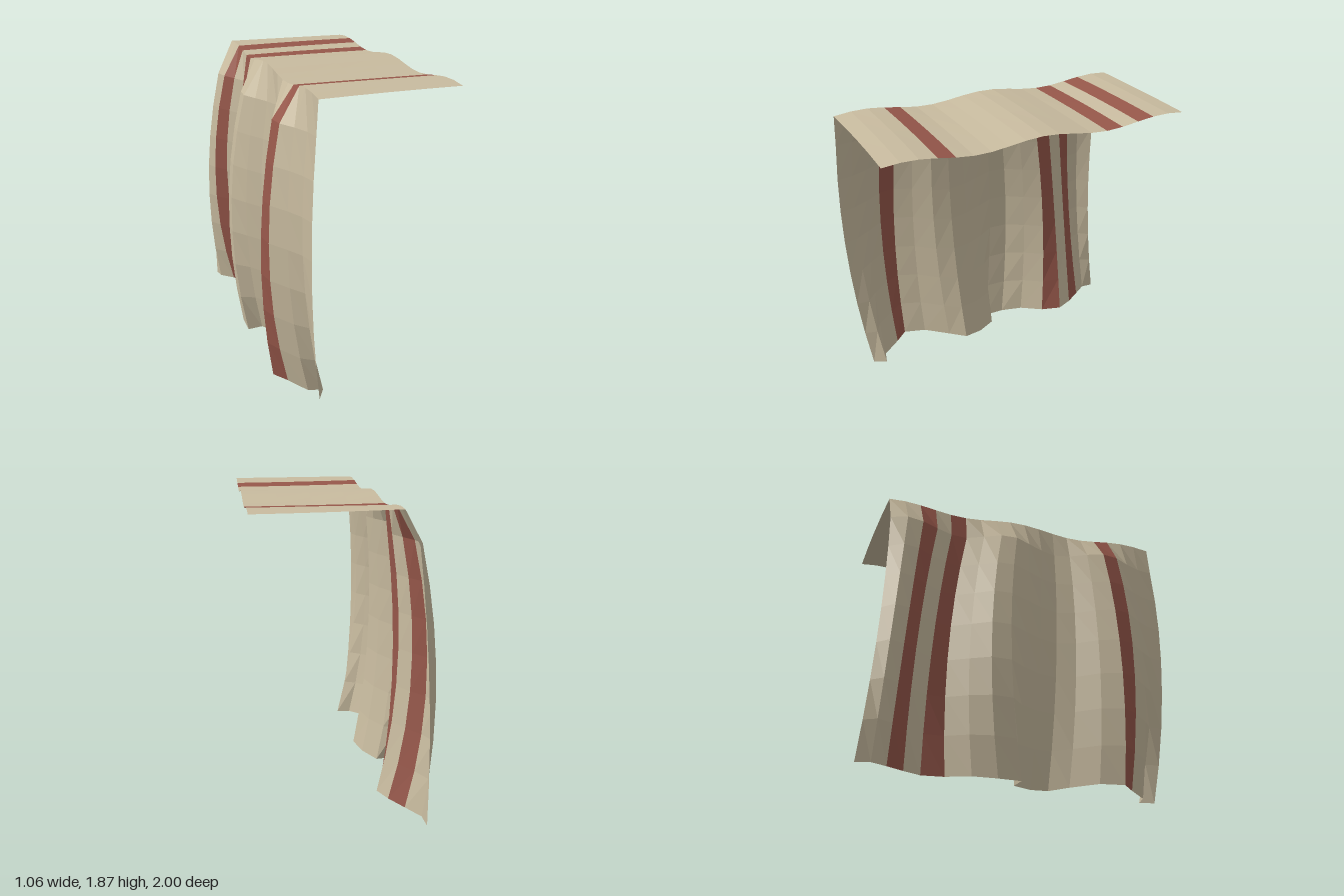
import * as THREE from 'three';

const COLUMNS = 18;
const STRIPES = [3, 13, 15]; // woven red columns

// Fold outlines of the hanging side, from the +z edge to the -z edge
const MID_Z = [0.99, 0.9, 0.81, 0.7, 0.6, 0.48, 0.36, 0.24, 0.11, -0.01, -0.13, -0.25, -0.36, -0.47, -0.57, -0.675, -0.76, -0.85, -0.92];
const MID_X = [-0.35, -0.37, -0.43, -0.51, -0.53, -0.47, -0.38, -0.345, -0.39, -0.46, -0.53, -0.52, -0.44, -0.36, -0.37, -0.43, -0.5, -0.53, -0.47];
const HEM_Z = [0.9, 0.82, 0.8, 0.68, 0.6, 0.46, 0.31, 0.2, 0.07, -0.06, -0.05, -0.19, -0.33, -0.46, -0.59, -0.7, -0.81, -0.91, -1];
const HEM_X = [-0.27, -0.22, -0.31, -0.4, -0.47, -0.42, -0.31, -0.24, -0.28, -0.36, -0.46, -0.46, -0.41, -0.3, -0.25, -0.3, -0.38, -0.46, -0.47];

const DRAPE_HEIGHTS = [1.66, 1.42, 1.19, 0.96, 0.72, 0.48, 0.24, 0];

// Gentle ripple across the top, and the uneven lower hem
const ripple = (z) => 1.85 + 0.02 * Math.cos((2 * Math.PI * z) / 0.8);
const hem = (z) => 0.022 - 0.022 * Math.cos((2 * Math.PI * (z + 0.1)) / 1.1);

// Smooth curve through a value near the top (1.66), middle (0.9) and bottom (0)
function bend(y, top, mid, bottom) {
  const a = ((y - 0.9) * y) / (0.76 * 1.66);
  const b = ((y - 1.66) * y) / (-0.76 * 0.9);
  const c = ((y - 1.66) * (y - 0.9)) / (1.66 * 0.9);
  return a * top + b * mid + c * bottom;
}

// Row of points on the flat top, u = 0 at the free edge and 1 at the crease
function topRow(u) {
  const row = [];
  const drift = 0.03 * u * u;
  for (let i = 0; i <= COLUMNS; i++) {
    const z = 0.95 + drift - i * (0.1045 - 0.0005 * u);
    row.push([0.53 - 0.84 * u, ripple(z), z]);
  }
  return row;
}

// Row of points on the hanging side
function drapeRow(y) {
  const row = [];
  for (let i = 0; i <= COLUMNS; i++) {
    const upperX = -0.32 + (MID_X[i] + 0.345) * 0.65;
    const x = bend(y, upperX, MID_X[i], HEM_X[i]);
    const z = bend(y, 0.985 - i * 0.1042, MID_Z[i], HEM_Z[i]);
    row.push([x, y + hem(z) * (1 - y / 1.66), z]);
  }
  return row;
}

// Cloth panel from rows of points, keeping only the chosen columns
function panel(name, rows, columns, material) {
  const points = [];
  for (let r = 0; r < rows.length - 1; r++) {
    for (const i of columns) {
      const a = rows[r][i];
      const b = rows[r][i + 1];
      const c = rows[r + 1][i + 1];
      const d = rows[r + 1][i];
      points.push(...a, ...b, ...d, ...b, ...c, ...d);
    }
  }
  const geometry = new THREE.BufferGeometry();
  geometry.setAttribute('position', new THREE.Float32BufferAttribute(points, 3));
  geometry.computeVertexNormals();
  const mesh = new THREE.Mesh(geometry, material);
  mesh.name = name;
  return mesh;
}

export function createModel() {
  const linen = new THREE.MeshStandardMaterial({ color: 0xc8bb9f, side: THREE.DoubleSide, flatShading: true });
  linen.name = 'beige linen';
  const red = new THREE.MeshStandardMaterial({ color: 0x96574a, side: THREE.DoubleSide, flatShading: true });
  red.name = 'red stripe';

  const topRows = [0, 0.25, 0.5, 0.75, 1].map(topRow);
  const drapeRows = [topRow(1), ...DRAPE_HEIGHTS.map(drapeRow)];
  const plain = [...Array(COLUMNS).keys()].filter((i) => !STRIPES.includes(i));

  const group = new THREE.Group();
  group.name = 'drapedCloth';
  group.add(
    panel('topCloth', topRows, plain, linen),
    panel('topStripes', topRows, STRIPES, red),
    panel('hangingCloth', drapeRows, plain, linen),
    panel('hangingStripes', drapeRows, STRIPES, red),
  );
  return group;
}
